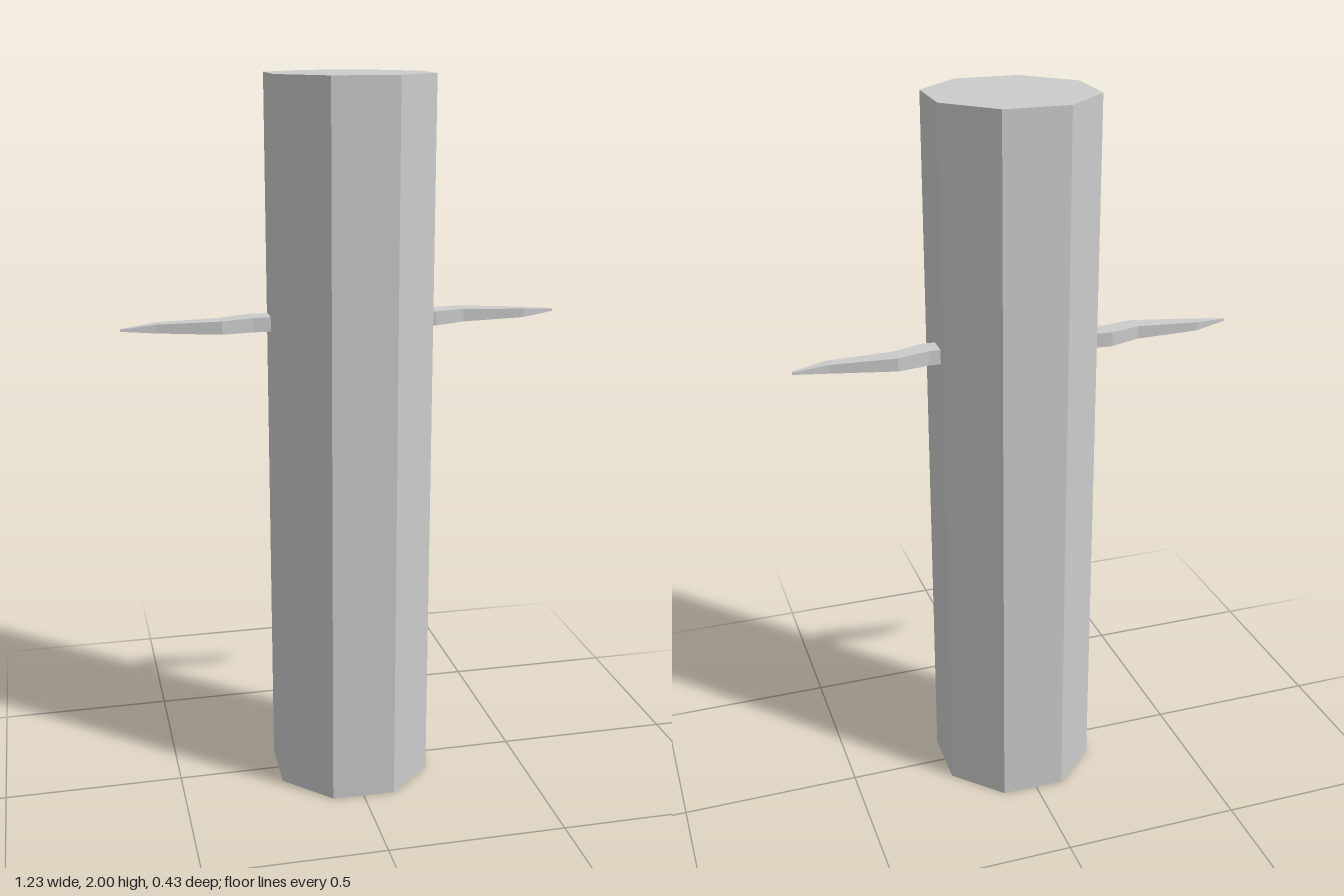
import * as THREE from 'three';

// Cross-sections of a spike along x: [x, back z, front z, half height], z relative to the pivot
const SECTIONS = [
  [0.20, -0.020, 0.037, 0.020],
  [0.255, -0.020, 0.041, 0.020],
  [0.343, -0.040, 0.013, 0.018],
  [0.517, -0.013, 0.020, 0.012],
  [0.613, -0.014, -0.005, 0.003],
];

// Subdivided box whose rings are moved onto the cross-sections
function spikeGeometry() {
  const n = SECTIONS.length - 1;
  const geometry = new THREE.BoxGeometry(1, 1, 1, n, 1, 1);
  const p = geometry.attributes.position;
  for (let i = 0; i < p.count; i++) {
    const [x, back, front, half] = SECTIONS[Math.round((p.getX(i) + 0.5) * n)];
    p.setXYZ(i, x, Math.sign(p.getY(i)) * half, p.getZ(i) > 0 ? front : back);
  }
  geometry.computeVertexNormals();
  return geometry;
}

export function createModel() {
  const model = new THREE.Group();
  const material = new THREE.MeshStandardMaterial({ color: 0xcccccc, flatShading: true });

  // Octagonal post, turned very slightly
  const post = new THREE.Mesh(
    new THREE.CylinderGeometry(0.232, 0.232, 2, 8, 1, false, Math.PI / 8),
    material
  );
  post.name = 'post';
  post.position.set(0.005, 1, -0.002);
  post.rotation.y = -0.024;
  model.add(post);

  // Two wavy spikes, one the half-turn of the other
  const geometry = spikeGeometry();
  ['leftSpike', 'rightSpike'].forEach((name, i) => {
    const spike = new THREE.Mesh(geometry, material);
    spike.name = name;
    spike.position.set(-0.002, 1.336, -0.043);
    spike.rotation.y = i * Math.PI;
    model.add(spike);
  });

  return model;
}
